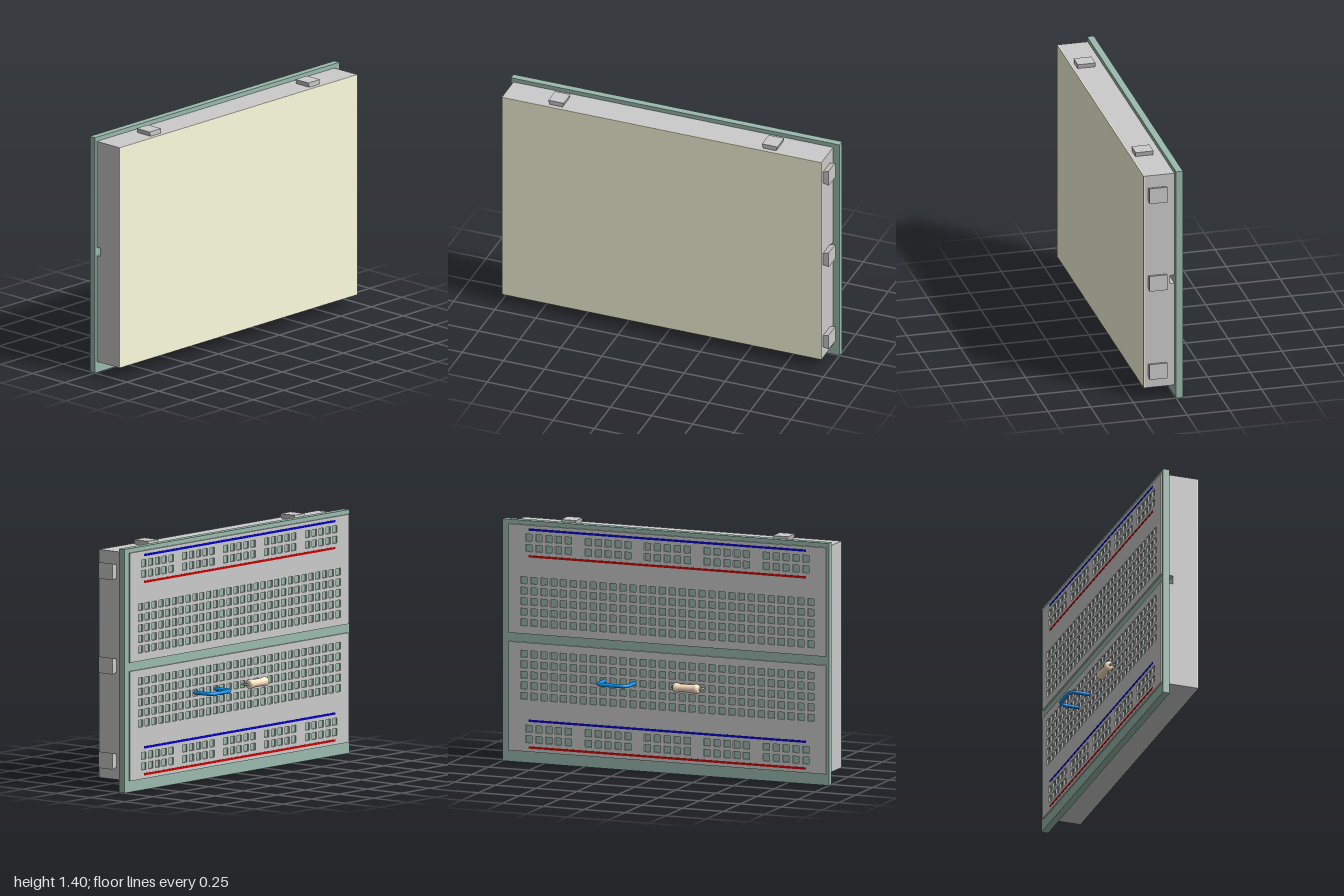
import * as THREE from 'three';

const mat = (color) => new THREE.MeshStandardMaterial({ color });
const grey = mat(0xcccccc);
const green = mat(0x9abaad);
const cream = mat(0xfefee0);
const wireBlue = mat(0x0c96f8);
const tan = mat(0xffe4c4);
const lineBlue = mat(0x0000cc);
const lineRed = mat(0xcc0000);

const P = 0.0606;         // hole pitch
const CX = -0.0125;       // centre of the body across x
const CY = 0.7175;        // middle of the central divide
const X0 = -0.985, X1 = 0.96;
const Y0 = 0.065, Y1 = 1.37;
const FACE = -0.049;      // outer surface of the socket panels

function add(group, name, geometry, material, x = 0, y = 0, z = 0) {
  const mesh = new THREE.Mesh(geometry, material);
  mesh.name = name;
  mesh.position.set(x, y, z);
  group.add(mesh);
  return mesh;
}

function polygon(points) {
  return new THREE.Shape(points.map(([x, y]) => new THREE.Vector2(x, y)));
}

function squareHole(x, y, h = 0.02) {
  return new THREE.Path([[-h, -h], [-h, h], [h, h], [h, -h]]
    .map(([a, b]) => new THREE.Vector2(x + a, y + b)));
}

// Panel with five socket rows and one two-row rail; side = 1 is above the divide
function socketPanel(side) {
  const inner = CY + side * 0.025;
  const outer = side > 0 ? Y1 : Y0;
  const low = Math.min(inner, outer), high = Math.max(inner, outer);
  const shape = polygon([[X0, low], [X1, low], [X1, high], [X0, high]]);
  for (let row = 0; row < 5; row++)
    for (let col = 0; col < 30; col++)
      shape.holes.push(squareHole(CX + (14.5 - col) * P, CY + side * (1.5 + row) * P));
  for (const offset of [-0.5, 0.5])
    for (let col = 0; col < 29; col++)
      if (col % 6 < 5)
        shape.holes.push(squareHole(CX + (14 - col) * P, CY + side * 0.5505 + offset * P));
  return new THREE.ExtrudeGeometry(shape, { depth: 0.011, bevelEnabled: false });
}

// Dovetail tab that widens away from the edge it sits on
function tabGeometry() {
  const shape = polygon([[-0.036, -0.005], [0.036, -0.005], [0.047, 0.034], [-0.047, 0.034]]);
  return new THREE.ExtrudeGeometry(shape, { depth: 0.103, bevelEnabled: false });
}

// U-shaped path with rounded corners, standing out from the panel
function staplePath(xa, xb, y, zTop, r) {
  const v = (x, z) => new THREE.Vector3(x, y, z);
  const path = new THREE.CurvePath();
  path.add(new THREE.LineCurve3(v(xa, -0.04), v(xa, zTop + r)));
  path.add(new THREE.QuadraticBezierCurve3(v(xa, zTop + r), v(xa, zTop), v(xa + r, zTop)));
  path.add(new THREE.LineCurve3(v(xa + r, zTop), v(xb - r, zTop)));
  path.add(new THREE.QuadraticBezierCurve3(v(xb - r, zTop), v(xb, zTop), v(xb, zTop + r)));
  path.add(new THREE.LineCurve3(v(xb, zTop + r), v(xb, -0.04)));
  return path;
}

export function createModel() {
  const model = new THREE.Group();
  model.name = 'breadboard';

  // Body, a side profile with the central slot, run across x
  const profile = polygon([
    [-0.174, Y0], [0, Y0], [0, CY - 0.025], [-0.025, CY - 0.025],
    [-0.025, CY + 0.025], [0, CY + 0.025], [0, Y1], [-0.174, Y1],
  ]);
  const body = new THREE.ExtrudeGeometry(profile, { depth: X1 - X0, bevelEnabled: false });
  body.rotateY(Math.PI / 2);
  add(model, 'body', body, grey, X0, 0, 0);

  // Backing sheet and plate
  add(model, 'backingSheet', new THREE.BoxGeometry(X1 - X0, Y1 - Y0, 0.005), cream,
    CX, (Y0 + Y1) / 2, 0.1765);
  add(model, 'plate', new THREE.BoxGeometry(2, 1.395, 0.04), green, 0, 0.6975, -0.02);

  // Socket panels and rail lines
  for (const side of [1, -1]) {
    const prefix = side > 0 ? 'upper' : 'lower';
    add(model, prefix + 'SocketPanel', socketPanel(side), grey, 0, 0, FACE);
    const railY = CY + side * 0.5505;
    const line = new THREE.BoxGeometry(1.7, 0.013, 0.002);
    add(model, prefix + 'BlueLine', line, lineBlue, CX, railY + 0.077, FACE - 0.0005);
    add(model, prefix + 'RedLine', line, lineRed, CX, railY - 0.077, FACE - 0.0005);
  }

  // Joining tabs on the left side and along the top
  const tab = tabGeometry();
  for (const y of [0.173, 0.717, 1.257])
    add(model, 'sideTab', tab, grey, X1, y, 0.05).rotation.z = -Math.PI / 2;
  for (const x of [-0.665, 0.635])
    add(model, 'topTab', tab, grey, x, Y1 - 0.007, 0.05);

  // Jumper wire
  const rowY = CY - 3.5 * P;
  add(model, 'jumperWire',
    new THREE.TubeGeometry(staplePath(0.19, 0.375, rowY, -0.163, 0.045), 60, 0.011, 12),
    wireBlue);

  // Resistor: lathed body with swollen ends, and its bent lead
  const resistor = new THREE.Group();
  resistor.name = 'resistor';
  const outline = [
    [0, -0.08], [0.018, -0.079], [0.026, -0.073], [0.028, -0.062], [0.027, -0.05], [0.023, -0.038],
    [0.023, 0.038], [0.027, 0.05], [0.028, 0.062], [0.026, 0.073], [0.018, 0.079], [0, 0.08],
  ].map(([r, y]) => new THREE.Vector2(r, y));
  add(resistor, 'resistorBody', new THREE.LatheGeometry(outline, 24), tan, -0.14, rowY, -0.076)
    .rotation.z = -Math.PI / 2;
  add(resistor, 'resistorLead',
    new THREE.TubeGeometry(staplePath(-0.232, -0.048, rowY, -0.076, 0.018), 60, 0.006, 8), grey);
  model.add(resistor);

  return model;
}
